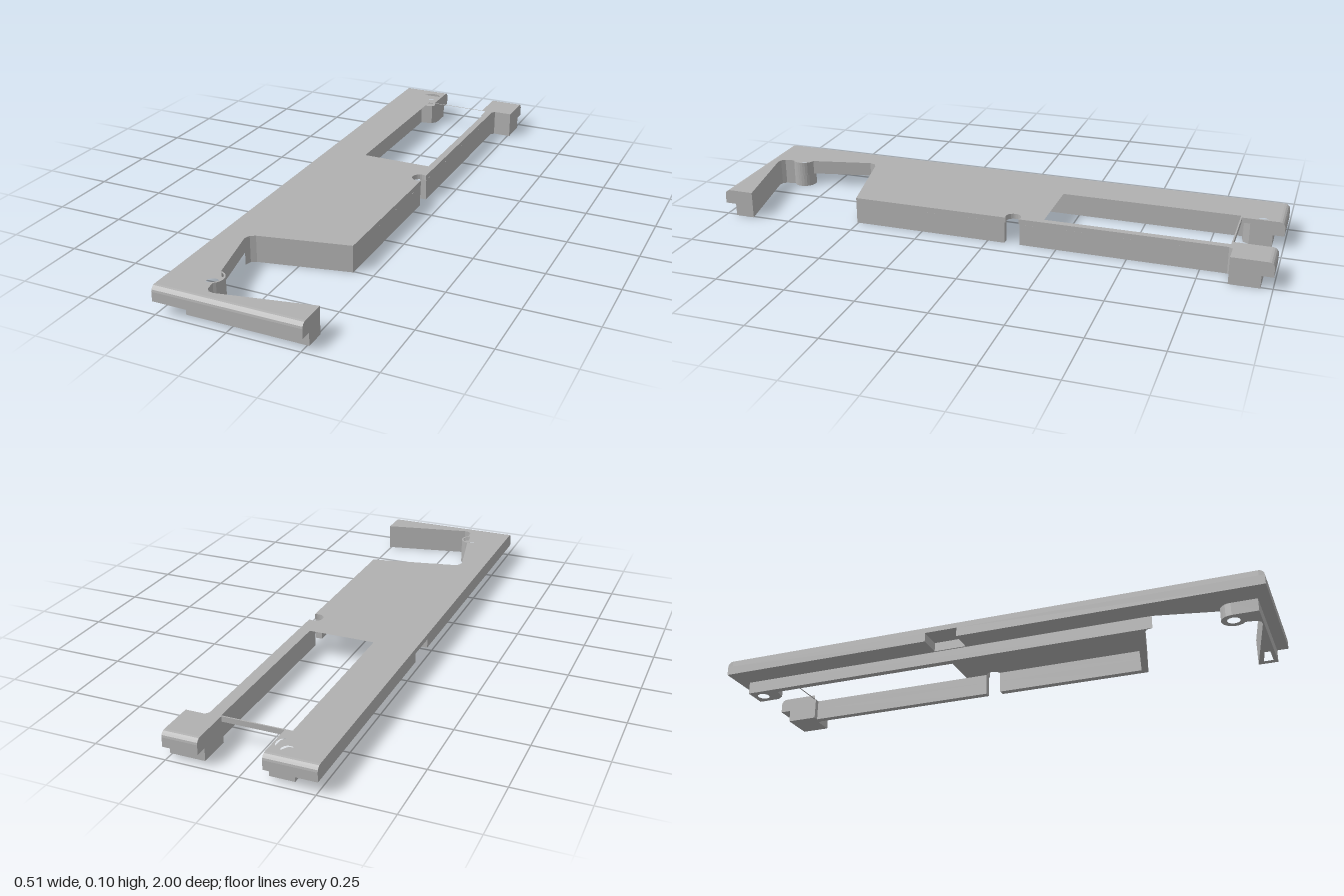
import * as THREE from 'three';

const LIP = 0.045, UNDER = 0.078, TOP = 0.097;   // levels of lip, plate underside, plate top
const SCREW_X = -0.123, BACK_Z = -0.92, FRONT_Z = 0.87;

// points [x, z] on an arc, angles in degrees
function arc(cx, cz, r, a0, a1, n = 10) {
  return Array.from({ length: n + 1 }, (_, i) => {
    const a = THREE.MathUtils.degToRad(a0 + (a1 - a0) * i / n);
    return [cx + r * Math.cos(a), cz + r * Math.sin(a)];
  });
}
const circle = (cx, cz, r) => arc(cx, cz, r, 0, 345, 23);

export function createModel() {
  const group = new THREE.Group();
  const grey = new THREE.MeshStandardMaterial({ color: 0xb0b0b0 });
  grey.name = 'grey plastic';

  const toVec = (pts) => pts.map(([x, z]) => new THREE.Vector2(x, -z));

  // horizontal slab from a plan outline between two heights
  function slab(name, y0, y1, outline, holes = []) {
    const shape = new THREE.Shape(toVec(outline));
    holes.forEach((h) => shape.holes.push(new THREE.Path(toVec(h))));
    const geo = new THREE.ExtrudeGeometry(shape, { depth: y1 - y0, bevelEnabled: false });
    geo.rotateX(-Math.PI / 2).translate(0, y0, 0);
    const mesh = new THREE.Mesh(geo, grey);
    mesh.name = name;
    group.add(mesh);
  }

  // slanted cut-out near the front, going round the front screw boss
  const cutBack = [[0.18, 0.505], [-0.14, 0.573], [-0.158, 0.583], [-0.165, 0.605]];
  const cutFront = [
    ...arc(SCREW_X, FRONT_Z, 0.042, -80, 55),
    [-0.094, 0.94], [-0.083, 0.953], [-0.065, 0.956], [0.257, 0.89],
  ];
  const tubInside = [[-0.14, -0.85], [-0.14, 0.547], [0.155, 0.486], [0.155, -0.062], [0.18, -0.062]];
  const backHole = circle(SCREW_X, BACK_Z, 0.022);
  const frontHole = circle(SCREW_X, FRONT_Z, 0.022);

  // top plate with window, countersinks and side hole
  slab('topPlate', UNDER, TOP, [
    [-0.257, -0.98], [-0.08, -0.98], [-0.08, -0.85], [0.135, -0.85], [0.135, -0.98],
    [0.257, -0.98], [0.257, -0.855], [0.19, -0.855], [0.18, -0.842],
    ...arc(0.165, -0.09, 0.028, -58, -302, 14).map(([x, z]) => [Math.min(x, 0.18), z]),
    ...cutBack, ...cutFront, [0.257, 0.98], [-0.257, 0.98],
  ], [
    [[-0.105, -0.845], [0.155, -0.845], [0.155, -0.2], [-0.105, -0.2]],
    circle(SCREW_X, BACK_Z, 0.036), circle(SCREW_X, FRONT_Z, 0.036),
  ]);

  // overhanging lip, with a small notch in the long edge
  slab('lip', LIP, UNDER, [
    [-0.257, -1], [-0.08, -1], [-0.08, -0.88], [-0.095, -0.857],
    ...tubInside, ...cutBack, ...cutFront, [0.257, 1], [-0.257, 1],
    [-0.257, -0.07], [-0.17, -0.07], [-0.17, -0.19], [-0.257, -0.19],
  ], [backHole, frontHole]);

  // tub wall and back screw block below the lip
  slab('tubWall', 0, LIP, [
    [-0.165, -0.96], [-0.08, -0.96], [-0.08, -0.88], [-0.095, -0.857],
    ...tubInside, ...cutBack,
  ], [backHole]);

  // back corner block with its side wall
  const sideWall = (z) => [
    [0.135, z], [0.257, z], [0.257, -0.855], [0.19, -0.855], [0.18, -0.842],
    [0.18, -0.118], [0.155, -0.118], [0.155, -0.845], [0.135, -0.845],
  ];
  slab('sideWallUpper', LIP, UNDER, sideWall(-1));
  slab('sideWallLower', 0, LIP, sideWall(-0.96));

  // lower part of the front arm with screw boss and pocket
  slab('frontArmBase', 0, LIP, [
    [-0.165, 0.96], ...arc(SCREW_X, FRONT_Z, 0.042, -180, 55, 16),
    ...cutFront.slice(-4), [0.257, 0.96],
  ], [frontHole, [[0.235, 0.912], [0.235, 0.946], [0.06, 0.946]]]);

  // rounded end edges: quarter-round profile swept along x
  function roundedEdge(name, x0, x1, back) {
    const r = TOP - UNDER;
    const profile = new THREE.Shape([
      new THREE.Vector2(0, 0),
      ...arc(0, 0, r + 0.001, 0, 90, 4).map(([a, b]) => new THREE.Vector2(a * 0.02 / (r + 0.001), b * r / (r + 0.001))),
    ]);
    const geo = new THREE.ExtrudeGeometry(profile, { depth: x1 - x0, bevelEnabled: false });
    geo.translate(0, 0, -(x1 - x0) / 2).rotateY(back ? Math.PI / 2 : -Math.PI / 2);
    const mesh = new THREE.Mesh(geo, grey);
    mesh.name = name;
    mesh.position.set((x0 + x1) / 2, UNDER, back ? -0.98 : 0.98);
    group.add(mesh);
  }
  roundedEdge('frontEdge', -0.257, 0.257, false);
  roundedEdge('backEdgeRight', -0.257, -0.08, true);
  roundedEdge('backEdgeLeft', 0.135, 0.257, true);

  return group;
}
